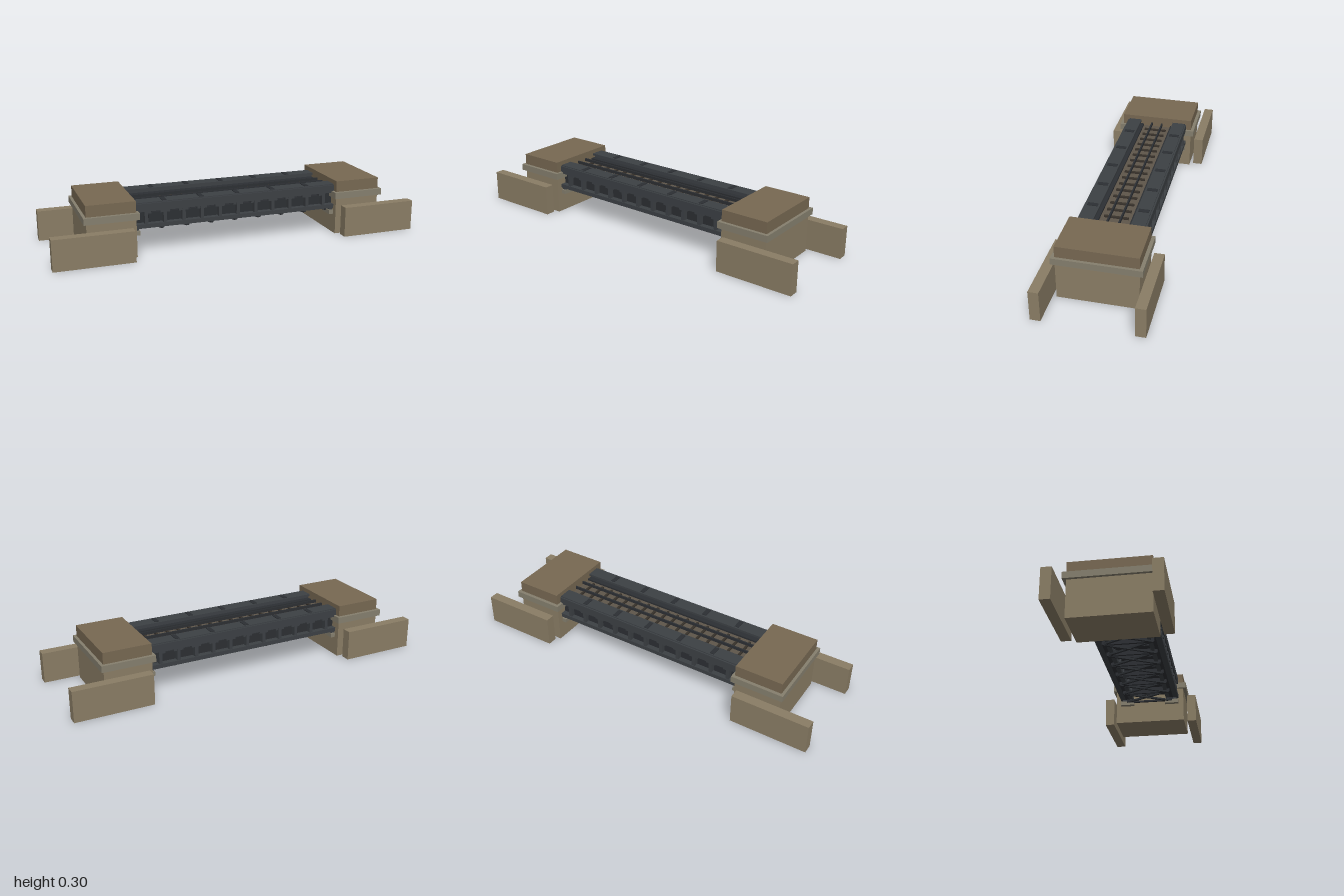
import * as THREE from 'three';

export function createModel() {
  const model = new THREE.Group();
  const mat = (color) => new THREE.MeshStandardMaterial({ color });
  const stone = mat(0x8a7d65), capStone = mat(0x776852), ledgeStone = mat(0x857f6e);
  const steel = mat(0x3c4044), darkSteel = mat(0x2c2f33), ballast = mat(0x5f564a), timber = mat(0x38322b);

  // Box given by its minimum and maximum along each axis
  function box(parent, name, material, [x0, x1], [y0, y1], [z0, z1]) {
    const mesh = new THREE.Mesh(new THREE.BoxGeometry(x1 - x0, y1 - y0, z1 - z0), material);
    mesh.position.set((x0 + x1) / 2, (y0 + y1) / 2, (z0 + z1) / 2);
    mesh.name = name;
    parent.add(mesh);
    return mesh;
  }

  // Horizontal bar between two points of the bracing plane
  function brace(parent, name, xa, za, xb, zb, y, width) {
    const length = Math.hypot(xb - xa, zb - za);
    const mesh = new THREE.Mesh(new THREE.BoxGeometry(length, 0.01, width), darkSteel);
    mesh.position.set((xa + xb) / 2, y, (za + zb) / 2);
    mesh.rotation.y = -Math.atan2(zb - za, xb - xa);
    mesh.name = name;
    parent.add(mesh);
  }

  // Abutments with wing walls; the second is the first turned half round
  for (const side of ['left', 'right']) {
    const abutment = new THREE.Group();
    abutment.name = side + 'Abutment';
    box(abutment, 'abutmentBody', stone, [0.56, 0.815], [0, 0.203], [-0.205, 0.205]);
    box(abutment, 'abutmentLedge', ledgeStone, [0.546, 0.83], [0.203, 0.238], [-0.223, 0.223]);
    box(abutment, 'abutmentCap', capStone, [0.56, 0.815], [0.238, 0.298], [-0.205, 0.205]);
    for (const s of [-1, 1]) {
      const z = s * 0.251;
      box(abutment, 'wingWall', stone, [0.583, 1], [0, 0.165], [z - 0.026, z + 0.026]);
      // Bearing block and plate under the girder end
      const b = s * 0.135;
      box(abutment, 'bearingBlock', ledgeStone, [0.535, 0.56], [0.105, 0.128], [b - 0.04, b + 0.04]);
      box(abutment, 'bearingPlate', steel, [0.54, 0.57], [0.128, 0.14], [b - 0.03, b + 0.03]);
    }
    if (side === 'right') abutment.rotation.y = Math.PI;
    model.add(abutment);
  }

  // Plate girders
  const END = 0.58, PITCH = 0.1;
  for (const s of [-1, 1]) {
    const girder = new THREE.Group();
    girder.name = s > 0 ? 'frontGirder' : 'backGirder';
    const across = (a, b) => (s > 0 ? [a, b] : [-b, -a]);
    const span = [-END, END];
    box(girder, 'web', darkSteel, span, [0.14, 0.265], across(0.125, 0.145));
    box(girder, 'topFlange', steel, span, [0.263, 0.275], across(0.095, 0.168));
    box(girder, 'topChord', steel, span, [0.228, 0.27], across(0.11, 0.176));
    box(girder, 'bottomChord', steel, span, [0.14, 0.162], across(0.1, 0.176));
    box(girder, 'innerWalkway', darkSteel, span, [0.235, 0.25], across(0.08, 0.12));
    for (let i = -5; i <= 5; i++) {
      const x = i * PITCH;
      box(girder, 'stiffener', steel, [x - 0.009, x + 0.009], [0.155, 0.235], across(0.1, 0.172));
      // Cover plate joints along the flange
      if (i % 2 === 0) box(girder, 'splicePlate', darkSteel, [x - 0.012, x + 0.012], [0.274, 0.278], across(0.105, 0.16));
    }
    for (let i = -5; i < 5; i++) {
      const x = (i + 0.5) * PITCH;
      box(girder, 'webPanel', darkSteel, [x - 0.036, x + 0.036], [0.168, 0.215], across(0.14, 0.154));
      // Gusset tabs in the upper corners of each panel
      for (const t of [-1, 1]) {
        const gx = x + t * 0.033;
        box(girder, 'gusset', steel, [gx - 0.009, gx + 0.009], [0.215, 0.23], across(0.14, 0.17));
      }
    }
    model.add(girder);
  }

  // Track bed, sleepers and rails
  const track = new THREE.Group();
  track.name = 'track';
  box(track, 'deck', ballast, [-0.57, 0.57], [0.222, 0.24], [-0.082, 0.082]);
  box(track, 'deckUnderside', darkSteel, [-0.57, 0.57], [0.212, 0.222], [-0.126, 0.126]);
  for (let i = -8; i <= 8; i++) {
    const x = i * 0.063;
    box(track, 'sleeper', timber, [x - 0.006, x + 0.006], [0.239, 0.249], [-0.063, 0.063]);
  }
  for (const s of [-1, 1]) {
    const z = s * 0.03;
    box(track, 'rail', darkSteel, [-0.57, 0.57], [0.247, 0.263], [z - 0.004, z + 0.004]);
  }
  model.add(track);

  // Crossed wind bracing and floor beams beneath the deck
  const bracing = new THREE.Group();
  bracing.name = 'bracing';
  const BAYS = 8, bay = 1.08 / BAYS;
  for (let i = 0; i <= BAYS; i++) {
    const x = -0.54 + i * bay;
    brace(bracing, 'crossStrut', x, -0.135, x, 0.135, 0.124, 0.012);
    box(bracing, 'floorBeam', darkSteel, [x - 0.006, x + 0.006], [0.165, 0.214], [-0.128, 0.128]);
    for (const z of [-0.13, 0.13]) box(bracing, 'bracingHanger', darkSteel, [x - 0.008, x + 0.008], [0.122, 0.142], [z - 0.008, z + 0.008]);
    if (i < BAYS) {
      brace(bracing, 'diagonal', x, -0.13, x + bay, 0.13, 0.122, 0.012);
      brace(bracing, 'diagonal', x, 0.13, x + bay, -0.13, 0.126, 0.012);
    }
  }
  model.add(bracing);

  return model;
}
